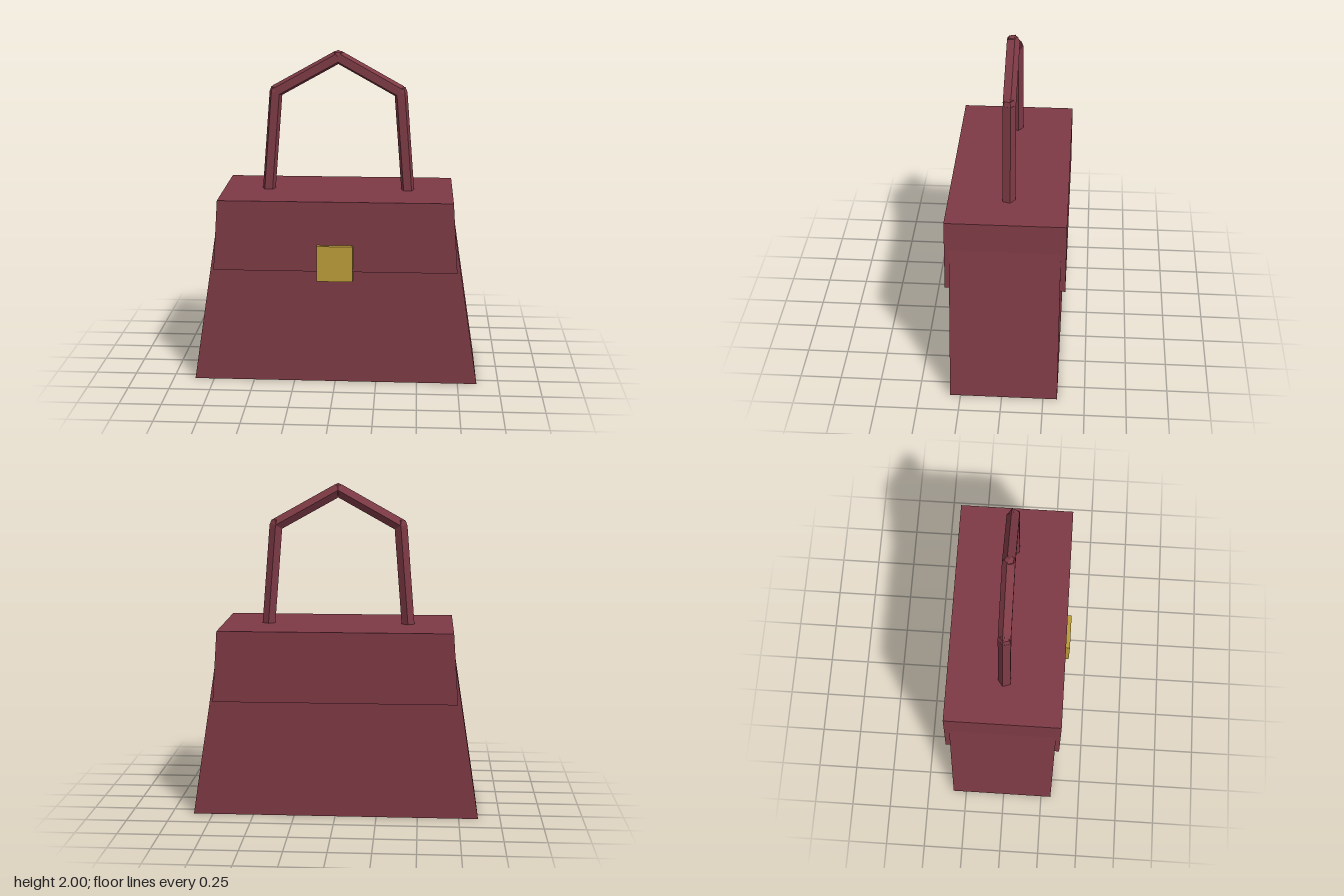
import * as THREE from 'three';

export function createModel() {
  const bag = new THREE.Group();
  bag.name = 'handbag';

  const leather = new THREE.MeshStandardMaterial({ name: 'maroon leather', color: 0x7d3a45, flatShading: true });
  const brass = new THREE.MeshStandardMaterial({ name: 'brass', color: 0xbb9b39, flatShading: true });

  function add(name, geometry, material, parent = bag) {
    const mesh = new THREE.Mesh(geometry, material);
    mesh.name = name;
    parent.add(mesh);
    return mesh;
  }

  // Trapezoid in the front plane, extruded from zBack to zFront
  function taperedBlock(bottomHalf, topHalf, y0, y1, zBack, zFront) {
    const shape = new THREE.Shape([
      new THREE.Vector2(-bottomHalf, y0),
      new THREE.Vector2(bottomHalf, y0),
      new THREE.Vector2(topHalf, y1),
      new THREE.Vector2(-topHalf, y1),
    ]);
    return new THREE.ExtrudeGeometry(shape, { depth: zFront - zBack, bevelEnabled: false })
      .translate(0, 0, zBack);
  }

  // Body and the slightly wider lid that overlaps its front and back
  add('body', taperedBlock(0.867, 0.692, 0, 1.125, -0.335, 0.313), leather);
  add('flap', taperedBlock(0.735, 0.705, 0.71, 1.14, -0.366, 0.341), leather);

  // Clasp on the front edge of the flap
  add('clasp', new THREE.BoxGeometry(0.216, 0.218, 0.042).translate(0, 0.765, 0.35), brass);

  // Handle: five-sided rods joined by small faceted knuckles
  const handle = new THREE.Group();
  handle.name = 'handle';
  bag.add(handle);
  const radius = 0.0415;
  const zHandle = -0.0135;
  const path = [[-0.431, 1.12], [-0.381, 1.746], [0, 1.9585], [0.381, 1.746], [0.431, 1.12]]
    .map(([x, y]) => new THREE.Vector3(x, y, zHandle));
  const up = new THREE.Vector3(0, 1, 0);

  for (let i = 0; i < path.length - 1; i++) {
    // Always run from the lower end to the upper end so both halves mirror
    const [low, high] = path[i].y < path[i + 1].y ? [path[i], path[i + 1]] : [path[i + 1], path[i]];
    const dir = high.clone().sub(low);
    const rod = add('handleRod', new THREE.CylinderGeometry(radius, radius, dir.length(), 5).rotateY(Math.PI), leather, handle);
    rod.position.copy(low).addScaledVector(dir, 0.5);
    rod.quaternion.setFromUnitVectors(up, dir.clone().normalize());
  }
  for (const point of path.slice(1, -1)) {
    const joint = add('handleJoint', new THREE.SphereGeometry(radius, 5, 4).rotateY(-Math.PI / 2), leather, handle);
    joint.position.copy(point);
  }

  return bag;
}
